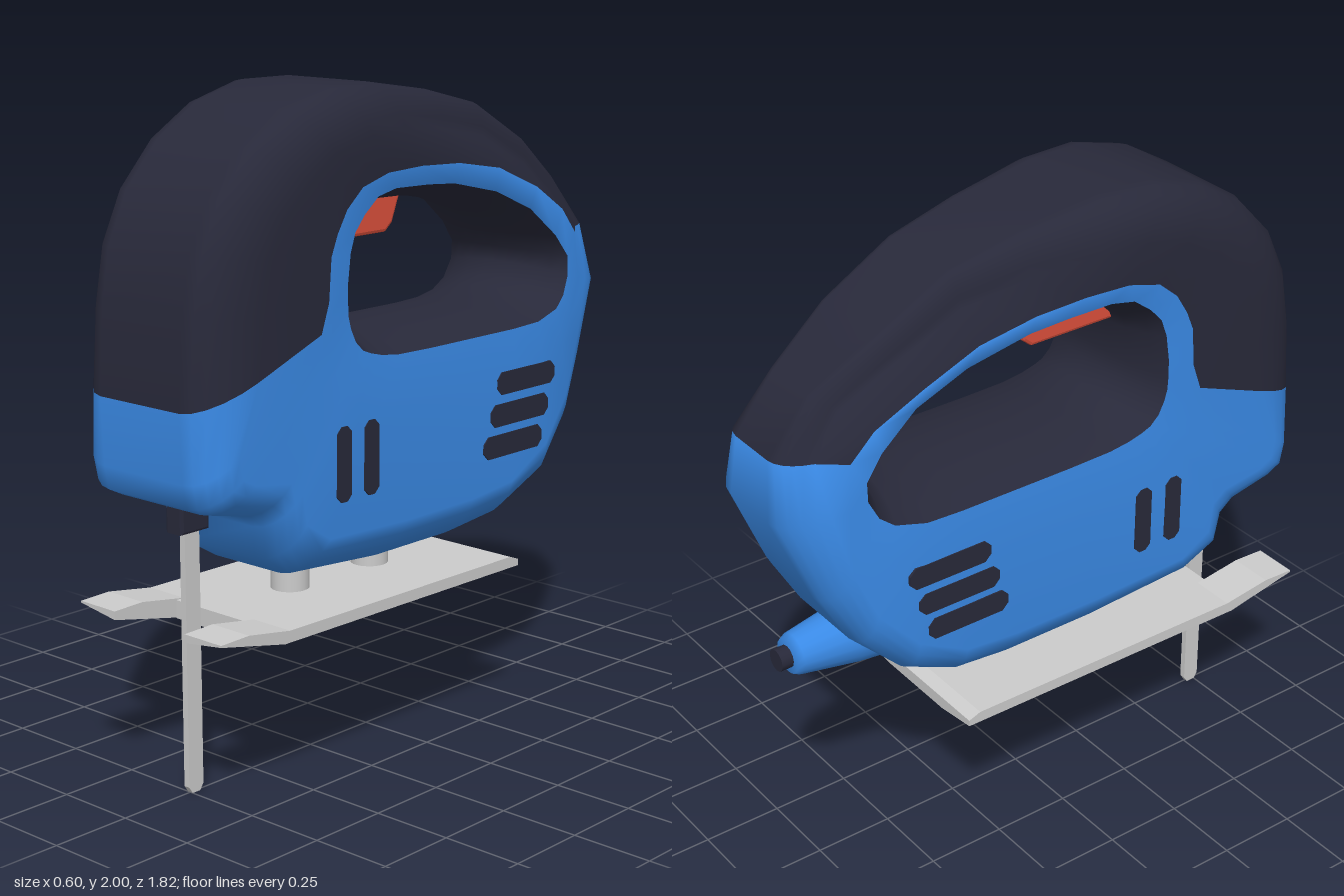
import * as THREE from 'three';

const mat = (color) => new THREE.MeshStandardMaterial({ color });
const BLUE = mat(0x3a8ae6), DARK = mat(0x28293a), RED = mat(0xdc503c), GREY = mat(0xcccccc);
BLUE.side = DARK.side = THREE.DoubleSide;

// Side profiles as [z, y], station by station around the handle opening;
// stations 0 to GRIP_END run over the grip, the rest round the housing.
const GRIP_END = 12;
const OUTER = [
  [.914, 1.17], [.90, 1.41], [.87, 1.58], [.80, 1.73], [.68, 1.86], [.53, 1.95], [.35, 2], [.17, 2], [-.10, 1.96],
  [-.33, 1.905], [-.56, 1.78], [-.76, 1.645], [-.89, 1.485], [-.91, 1.30], [-.79, 1.015], [-.69, .845], [-.55, .71],
  [-.37, .62], [-.18, .60], [.14, .60], [.51, .63], [.62, .70], [.64, .80], [.69, .84], [.84, .875], [.89, .90], [.905, .97]];
const RIM = [
  [.362, 1.40], [.362, 1.46], [.35, 1.545], [.33, 1.60], [.29, 1.645], [.23, 1.69], [.15, 1.705], [0, 1.70], [-.125, 1.69],
  [-.33, 1.645], [-.50, 1.575], [-.62, 1.48], [-.675, 1.41], [-.675, 1.35], [-.645, 1.29], [-.60, 1.255], [-.50, 1.23],
  [-.38, 1.225], [-.22, 1.225], [0, 1.225], [.15, 1.228], [.22, 1.237], [.27, 1.25], [.30, 1.262], [.33, 1.29], [.35, 1.33], [.36, 1.365]];
const GRIP_LINE = [
  [.48, 1.335], [.45, 1.42], [.44, 1.545], [.415, 1.605], [.375, 1.67], [.31, 1.725], [.20, 1.755], [.05, 1.76],
  [-.12, 1.752], [-.31, 1.72], [-.495, 1.645], [-.645, 1.56], [-.72, 1.48]];

const mix = (a, b, f) => [a[0] + (b[0] - a[0]) * f, a[1] + (b[1] - a[1]) * f];
const smooth = (v) => THREE.MathUtils.smoothstep(v, 0, 1);
const halfWidth = ([z, y]) => .272 - .06 * smooth((-z - .5) / .4) - .03 * smooth((.78 - y) / .18);
// How far the handle bar has slimmed towards the back, 0 to 1
const slimming = ([z, y]) => smooth((.45 - z) / .95) * smooth((y - 1.38) / .2);
const rimWidth = (p) => halfWidth(p) - .01 - .04 * slimming(p);

// Shell section from the opening's rim over the outer edge to the other rim
function shellSection(i) {
  const rim = RIM[i], out = OUTER[i], onGrip = i <= GRIP_END;
  const line = onGrip ? GRIP_LINE[i] : mix(rim, out, .25);
  const d = Math.hypot(out[0] - line[0], out[1] - line[1]);
  const t = slimming(out);
  const k = Math.min(onGrip ? .55 : .8, (onGrip ? .2 : .13) / d);
  const lineWidth = halfWidth(line) - .02 * slimming(line);
  const half = [[rimWidth(rim), rim], [lineWidth, line]];
  for (let s = 0; s <= 5; s++) {
    const a = s / 5 * Math.PI / 2, f = 1 - k + k * Math.sin(a), p = mix(line, out, f);
    const x = halfWidth(p) - .1 * t * smooth(f / .5);
    half.push([x - (.115 - .07 * t) * (1 - Math.cos(a)), p]);
  }
  return [...half, ...half.slice().reverse().map(([x, p]) => [-x, p])];
}

// Rounded section of the opening's wall
function wallSection(i) {
  const rim = RIM[i], w = rimWidth(rim);
  const inner = [-.16 + (rim[0] + .16) * .895, 1.46 + (rim[1] - 1.46) * .77];
  const half = [[1, 0], [.8, .42], [.5, .8], [.18, 1]].map(([x, f]) => [w * x, mix(rim, inner, f)]);
  return [...half.map(([x, p]) => [-x, p]), ...half.reverse()];
}

// Closed loft through all stations; pick() sorts the quads into groups
function loft(section, pick) {
  const n = OUTER.length, pos = [], all = [], groups = {};
  let m = 0;
  for (let i = 0; i < n; i++) {
    const s = section(i);
    m = s.length;
    s.forEach(([x, p]) => pos.push(x, p[1], p[0]));
  }
  for (let i = 0; i < n; i++) for (let j = 0; j < m - 1; j++) {
    const a = i * m + j, b = (i + 1) % n * m + j;
    const quad = [a, b, a + 1, b, b + 1, a + 1];
    all.push(...quad);
    (groups[pick(i, j, m)] ??= []).push(...quad);
  }
  const base = new THREE.BufferGeometry();
  base.setAttribute('position', new THREE.Float32BufferAttribute(pos, 3));
  base.setIndex(all);
  base.computeVertexNormals();
  return Object.fromEntries(Object.entries(groups).map(([key, idx]) => {
    const g = base.clone();
    g.setIndex(idx);
    return [key, g];
  }));
}

// Extrudes a [z, y] outline across x from x0 to x1
function slab(points, x0, x1, bevel = 0) {
  const shape = new THREE.Shape(points.map(([z, y]) => new THREE.Vector2(z, y)));
  const g = new THREE.ExtrudeGeometry(shape, {
    depth: x1 - x0 - 2 * bevel, bevelEnabled: bevel > 0, bevelSize: bevel, bevelThickness: bevel,
    bevelOffset: -bevel, bevelSegments: 2 });
  return g.translate(0, 0, -x1 + bevel).rotateY(-Math.PI / 2);
}

// Rectangle outline with cut corners
function slotOutline(z, y, w, h) {
  const c = Math.min(w, h) * .3, a = w / 2, b = h / 2;
  return [[-a + c, -b], [a - c, -b], [a, -b + c], [a, b - c], [a - c, b], [-a + c, b], [-a, b - c], [-a, -b + c]]
    .map(([p, q]) => [z + p, y + q]);
}

export function createModel() {
  const model = new THREE.Group();
  const add = (name, geometry, material, parent = model) => {
    const mesh = new THREE.Mesh(geometry, material);
    mesh.name = name;
    parent.add(mesh);
  };

  // Housing, soft grip and handle opening
  const shell = loft(shellSection, (i, j, m) => (i < GRIP_END && j > 0 && j < m - 2 ? 'grip' : 'housing'));
  add('housing', shell.housing, BLUE);
  add('softGrip', shell.grip, DARK);
  add('handleOpening', loft(wallSection, () => 'wall').wall, DARK);

  // Trigger
  add('trigger', slab([[.30, 1.545], [0, 1.545], [-.03, 1.57], [-.06, 1.645], [-.06, 1.68], [.30, 1.68]], -.08, .08, .01), RED);

  // Ventilation slots on both sides
  const slots = [[.39, .95, .06, .22], [.275, .95, .06, .22],
    [-.43, 1.067, .28, .07], [-.40, .97, .28, .07], [-.37, .875, .28, .07]];
  for (const s of slots) for (const side of [-1, 1])
    add('ventSlot', slab(slotOutline(...s), side * .26 - .014, side * .26 + .014), DARK);

  // Cord boot and cord end at the back
  const boot = [[.11, 0], [.095, .16], [.065, .34], [.055, .36], [0, .36]].map(([r, t]) => new THREE.Vector2(r, t));
  add('cordBoot', new THREE.LatheGeometry(boot, 16).rotateX(-Math.PI / 2).translate(0, .765, -.46), BLUE);
  add('cordEnd', new THREE.CylinderGeometry(.035, .035, .06, 12).rotateX(Math.PI / 2).translate(0, .765, -.828), DARK);

  // Blade and its clamp
  add('bladeClamp', slab([[.688, .78], [.795, .78], [.795, .89], [.688, .89]], -.033, .033, .008), DARK);
  add('blade', slab([[.707, .82], [.707, .02], [.72, 0], [.75, 0], [.763, .02], [.763, .82]], -.01, .01), GREY);

  // Base plate: flat middle, and side rails running on into upturned prongs
  const base = new THREE.Group();
  base.name = 'basePlate';
  base.rotation.y = -.012;
  model.add(base);
  add('plateMiddle', slab([[-.38, .465], [.65, .465], [.65, .52], [-.34, .52], [-.38, .505]], -.145, .145), GREY, base);
  const underside = (z) => .465 + .21 * Math.max(0, z - .64);
  const rail = [-.38, .64, .72, .885].map((z) => [z, underside(z)]);
  rail.push([.885, .542], [.78, .545], [.62, .52], [-.34, .52], [-.38, .505]);
  for (const side of [-1, 1]) {
    const g = slab(rail, side * .2175 - .0725, side * .2175 + .0725);
    const p = g.attributes.position;
    for (let i = 0; i < p.count; i++) // underside rises towards the outer edge
      if (Math.abs(p.getX(i)) > .2 && p.getY(i) < underside(p.getZ(i)) + .01) p.setY(i, p.getY(i) + .02);
    g.computeVertexNormals();
    add('plateRail', g, GREY, base);
  }

  // Posts joining plate and housing
  for (const z of [.333, -.015])
    add('post', new THREE.CylinderGeometry(.058, .058, .16, 20).translate(0, .57, z), GREY);

  return model;
}
